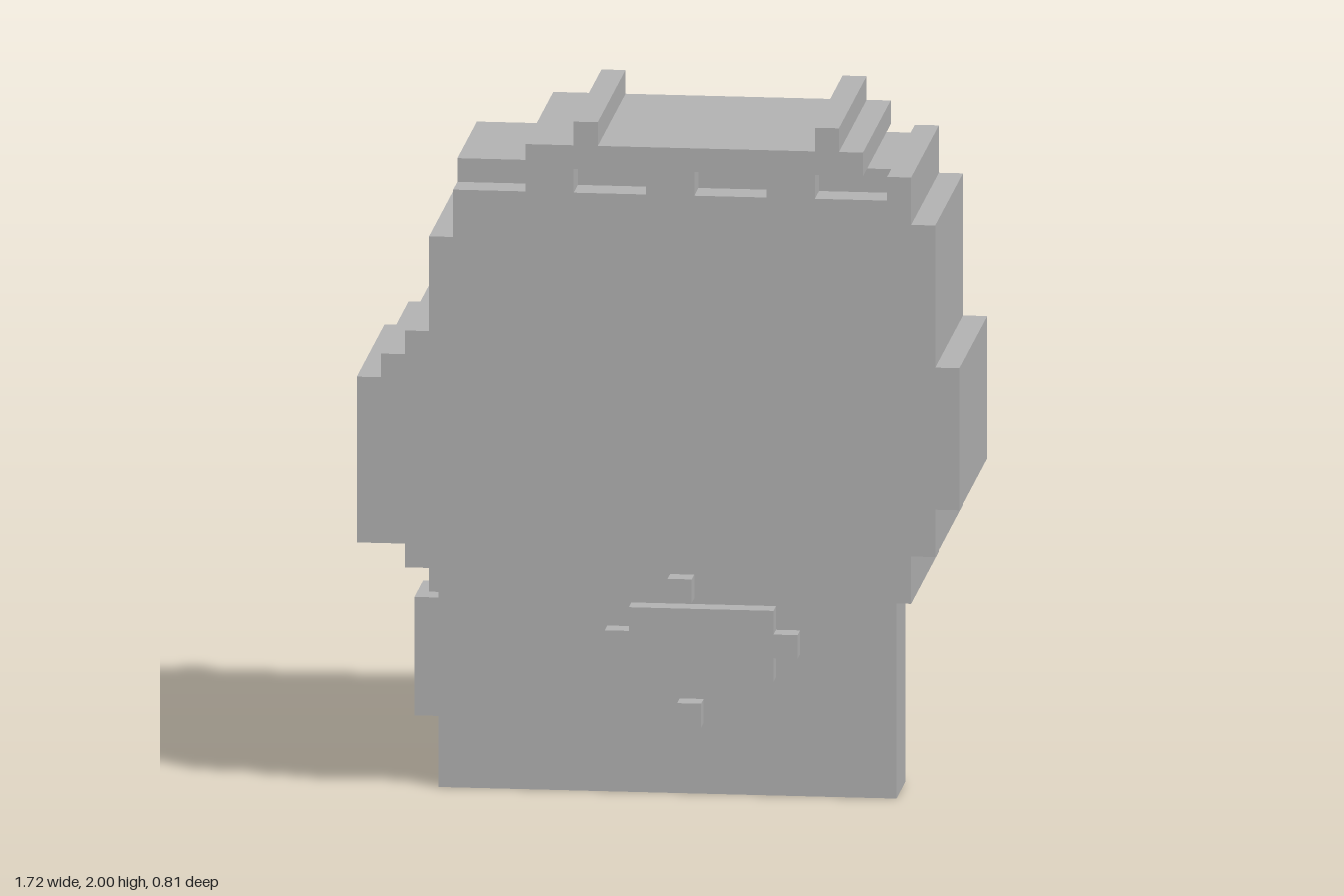
import * as THREE from 'three';

// The figure sits on a square grid, 25 cells wide and 29 high
const U = 2 / 29, COLS = 25;
const HEAD = 0.342, CORE = 0.24, BODY = 0.109, TRIM = 0.172, NOSE = 0.405;

const point = ([c, r]) => new THREE.Vector2((c - COLS / 2) * U, r * U);

// Extrudes a grid outline between two depths
function slab(name, outline, z0, z1, material, holes = []) {
  const shape = new THREE.Shape(outline.map(point));
  for (const h of holes) shape.holes.push(new THREE.Path(h.map(point)));
  const geometry = new THREE.ExtrudeGeometry(shape, { depth: z1 - z0, bevelEnabled: false });
  geometry.translate(0, 0, z0);
  const mesh = new THREE.Mesh(geometry, material);
  mesh.name = name;
  return mesh;
}

const rect = (c0, c1, r0, r1) => [[c0, r0], [c1, r0], [c1, r1], [c0, r1]];

export function createModel() {
  const model = new THREE.Group();
  model.name = 'blockFigure';
  const grey = new THREE.MeshStandardMaterial({ color: 0xb2b2b2 });
  grey.name = 'grey';

  // Stepped sides of the head, shared by its core and its faces
  const rightSide = [[3, 9], [23, 9], [23, 11], [24, 11], [24, 13], [25, 13],
    [25, 19], [24, 19], [24, 25], [23, 25], [23, 27]];
  const crown = [[21, 28], [20, 28], [20, 29], [19, 29], [19, 28],
    [10, 28], [10, 29], [9, 29], [9, 28], [7, 28]];
  const leftSide = [[4, 24], [3, 24], [3, 20], [2, 20], [2, 19], [1, 19], [1, 18],
    [0, 18], [0, 11], [2, 11], [2, 10], [3, 10]];

  const head = new THREE.Group();
  head.name = 'head';
  const coreOutline = [...rightSide, [21, 27], ...crown, [7, 27], [4, 27], ...leftSide];
  head.add(slab('headCore', coreOutline, -CORE, CORE, grey));

  // Front and back faces, with the slots and the open notch cut out
  const faceOutline = [...rightSide, [22, 27], [22, 26], [19, 26], [19, 27], [21, 27],
    ...crown, [7, 26], [4, 26], ...leftSide];
  const slots = [rect(9, 12, 26, 27), rect(14, 17, 26, 27)];
  head.add(slab('headFront', faceOutline, CORE, HEAD, grey, slots));
  head.add(slab('headBack', faceOutline, -HEAD, -CORE, grey, slots));
  model.add(head);

  // Thin body with a raised strip on one side
  const bodyOutline = [[3, 0], [22, 0], [22, 9], [3, 9], [3, 8], [2, 8], [2, 3], [3, 3]];
  model.add(slab('body', bodyOutline, -BODY, BODY, grey));

  // Raised details on both faces
  const panel = [[11, 5], [17, 5], [17, 6], [18, 6], [18, 7], [17, 7],
    [17, 8], [11, 8], [11, 7], [10, 7], [10, 6], [11, 6]];
  const details = [
    ['bellyPanel', panel, BODY, TRIM],
    ['button', rect(13, 14, 3, 4), BODY, TRIM],
    ['chinKnob', rect(13, 14, 9, 10), HEAD, NOSE],
  ];
  for (const [name, outline, z0, z1] of details) {
    model.add(slab(name + 'Front', outline, z0, z1, grey));
    model.add(slab(name + 'Back', outline, -z1, -z0, grey));
  }
  return model;
}
